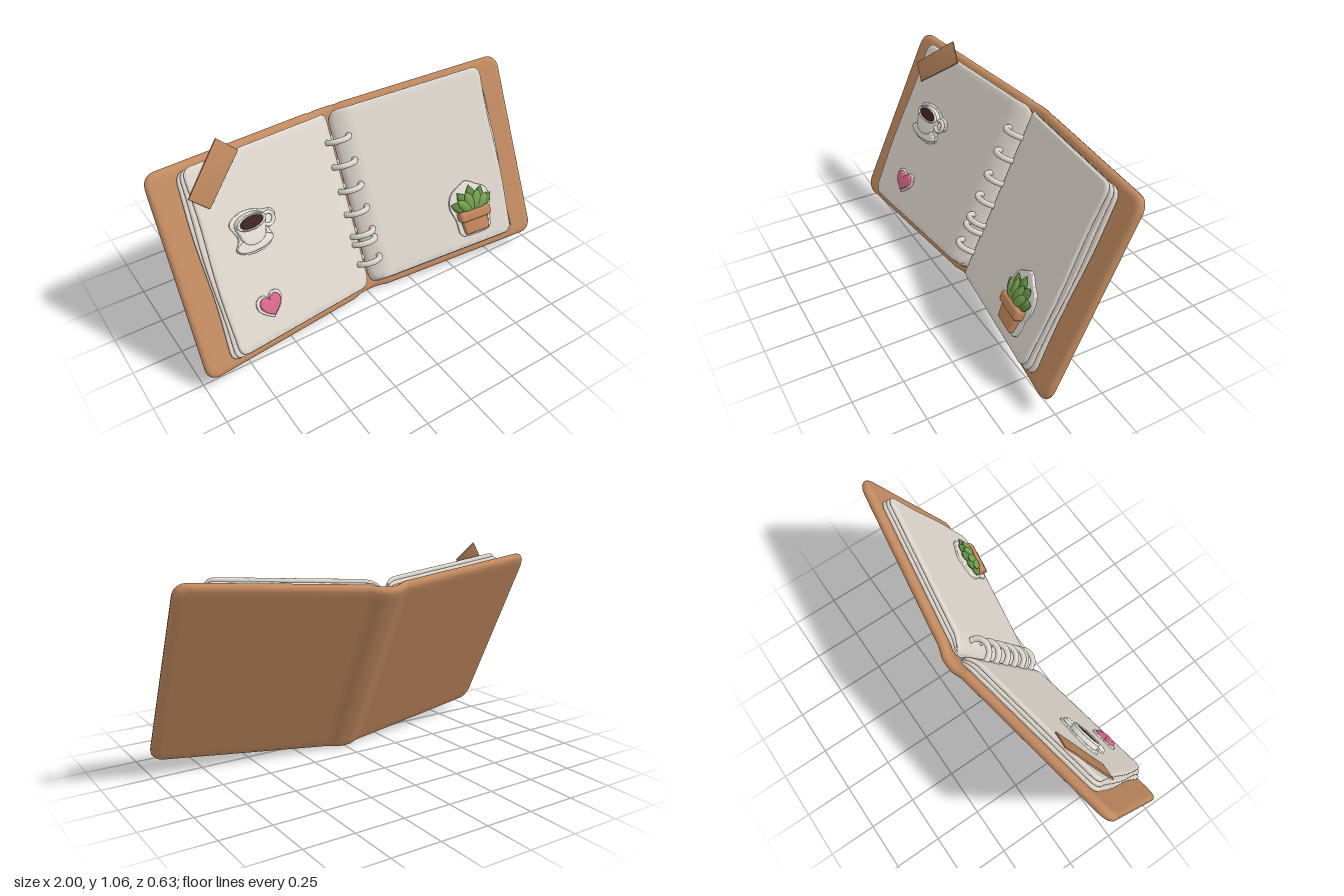
import * as THREE from 'three';
import { toCreasedNormals } from 'three/addons/utils/BufferGeometryUtils.js';
import { RoundedBoxGeometry } from 'three/addons/geometries/RoundedBoxGeometry.js';

const mat = (name, color) => {
  const m = new THREE.MeshStandardMaterial({ color });
  m.name = name;
  return m;
};
const M = {
  leather: mat('tan leather', 0xc28a60),
  tape: mat('brown tape', 0xb9855c),
  paper: mat('paper', 0xded7ce),
  ring: mat('ring white', 0xd9d4cc),
  sticker: mat('sticker white', 0xe4dfd8),
  coffee: mat('coffee', 0x3d2423),
  pink: mat('pink', 0xd8688a),
  leaf: mat('leaf green', 0x74a050),
  darkLeaf: mat('dark leaf green', 0x5f8a40),
  pot: mat('terracotta', 0xc4865c),
};

const SLOPE = 0.17;
// depth of the opened book's mid-surface away from the spine
const fold = (x) => 0.155 + SLOPE * (Math.abs(x) - 0.1);
const pageFront = (x) => fold(x) + 0.092;

function mesh(parent, name, geometry, material, x = 0, y = 0, z = 0) {
  const m = new THREE.Mesh(geometry, material);
  m.name = name;
  m.position.set(x, y, z);
  parent.add(m);
  return m;
}

// Slab with round corners and a semicircular edge, bent along x by depth(x)
function slab(w, h, t, r, cx, cy, depth, warp, nx = 44, ny = 36) {
  const g = new THREE.BoxGeometry(w, h, 2, nx, ny, 6);
  const p = g.attributes.position;
  for (let i = 0; i < p.count; i++) {
    let x = p.getX(i), y = p.getY(i);
    const a = (p.getZ(i) * Math.PI) / 2;
    const ax = Math.abs(x) - (w / 2 - r), ay = Math.abs(y) - (h / 2 - r);
    if (ax > 0 && ay > 0) {
      const k = Math.max(ax, ay) / Math.hypot(ax, ay);
      x = Math.sign(x) * (w / 2 - r + ax * k);
      y = Math.sign(y) * (h / 2 - r + ay * k);
    }
    const inset = (t / 2) * (1 - Math.cos(a));
    x = cx + x * (1 - (2 * inset) / w);
    y = y * (1 - (2 * inset) / h);
    if (warp) [x, y] = warp(x, y);
    p.setXYZ(i, x, cy + y, depth(x) + (t / 2) * Math.sin(a));
  }
  return toCreasedNormals(g, 0.9);
}

// Raised plate from a shape, with a soft bevelled rim
function plate(shape, depth, bevel = 0.005) {
  const g = new THREE.ExtrudeGeometry(shape, {
    depth, bevelEnabled: true, bevelSize: bevel, bevelThickness: bevel,
    bevelOffset: -bevel, bevelSegments: 3, curveSegments: 32,
  });
  return toCreasedNormals(g, 0.7);
}
const blob = (pts) => new THREE.Shape(
  new THREE.CatmullRomCurve3(pts.map(([x, y]) => new THREE.Vector3(x, y, 0)), true)
    .getPoints(72).slice(0, -1).map((p) => new THREE.Vector2(p.x, p.y)));
const polygon = (pts) => new THREE.Shape(pts.map(([x, y]) => new THREE.Vector2(x, y)));
const ellipse = (rx, ry) => new THREE.Shape().absellipse(0, 0, rx, ry, 0, Math.PI * 2);

function heartShape(s) {
  const h = new THREE.Shape();
  h.moveTo(0, -s);
  h.bezierCurveTo(-0.5 * s, -0.65 * s, -1.1 * s, -0.2 * s, -1.05 * s, 0.35 * s);
  h.bezierCurveTo(-s, 0.95 * s, -0.25 * s, 1.05 * s, 0, 0.5 * s);
  h.bezierCurveTo(0.25 * s, 1.05 * s, s, 0.95 * s, 1.05 * s, 0.35 * s);
  h.bezierCurveTo(1.1 * s, -0.2 * s, 0.5 * s, -0.65 * s, 0, -s);
  return h;
}

// Group lying on the page surface at (x, y)
function onPage(parent, name, x, y) {
  const g = new THREE.Group();
  g.name = name;
  g.position.set(x, y, pageFront(x));
  g.rotation.y = -Math.sign(x) * Math.atan(SLOPE);
  parent.add(g);
  return g;
}

function addCup(book) {
  const g = onPage(book, 'cupSticker', -0.6, 0.565);
  mesh(g, 'cupBacking', plate(blob([[-0.1, 0.06], [-0.05, 0.092], [0.03, 0.092], [0.085, 0.07],
    [0.135, 0.055], [0.145, 0.015], [0.095, -0.02], [0.105, -0.07], [0.06, -0.105],
    [-0.05, -0.105], [-0.1, -0.07], [-0.075, -0.02]]), 0.004), M.sticker);
  mesh(g, 'saucer', plate(ellipse(0.098, 0.034), 0.014), M.sticker, 0, -0.064, 0.004);
  mesh(g, 'cupBowl', plate(blob([[-0.08, 0.05], [-0.072, 0.0], [-0.05, -0.05], [0, -0.066],
    [0.05, -0.05], [0.072, 0], [0.08, 0.05], [0.045, 0.078], [-0.045, 0.078]]), 0.022), M.sticker, 0, 0, 0.004);
  const rim = mesh(g, 'cupRim', new THREE.TorusGeometry(0.072, 0.008, 10, 40), M.sticker, 0, 0.042, 0.034);
  rim.scale.set(1, 0.46, 1);
  mesh(g, 'coffee', plate(ellipse(0.062, 0.027), 0.002, 0.001), M.coffee, 0, 0.042, 0.035);
  mesh(g, 'cupHandle', new THREE.TorusGeometry(0.03, 0.009, 10, 28), M.sticker, 0.098, 0.02, 0.016);
}

function addHeart(book) {
  const g = onPage(book, 'heartSticker', -0.613, 0.19);
  g.rotation.z = 0.06;
  mesh(g, 'heartBacking', plate(heartShape(0.068), 0.004), M.sticker);
  mesh(g, 'heart', plate(heartShape(0.054), 0.012, 0.007), M.pink, 0, 0.001, 0.004);
}

function addPlant(book) {
  const g = onPage(book, 'plantSticker', 0.615, 0.19);
  mesh(g, 'plantBacking', plate(blob([[-0.085, -0.1], [0, -0.113], [0.085, -0.1], [0.1, -0.01],
    [0.12, 0.06], [0.1, 0.125], [0.06, 0.15], [0.0, 0.186], [-0.055, 0.165], [-0.1, 0.135],
    [-0.122, 0.07], [-0.1, -0.01]]), 0.008), M.sticker);
  mesh(g, 'potBody', plate(polygon([[-0.066, -0.095], [0.066, -0.095], [0.08, 0], [-0.08, 0]]), 0.032, 0.01), M.pot);
  mesh(g, 'potRim', new RoundedBoxGeometry(0.185, 0.058, 0.06, 4, 0.018), M.pot, 0, 0.008, 0.03);
  // pointed leaves fanned out in two rows
  const outline = [[0, 0], [0.016, 0.012], [0.029, 0.045], [0.031, 0.075], [0.02, 0.11], [0, 0.14]];
  const curve = new THREE.SplineCurve(outline.map(([x, y]) => new THREE.Vector2(x, y)));
  const leaf = new THREE.LatheGeometry(
    curve.getPoints(16).map((p) => new THREE.Vector2(Math.max(p.x, 0), p.y)), 20);
  const rows = [
    { angles: [-1.05, -0.5, 0.02, 0.5, 1.05], z: 0.026, size: 1, m: M.darkLeaf },
    { angles: [-0.75, -0.22, 0.3, 0.78], z: 0.042, size: 0.85, m: M.leaf },
  ];
  for (const { angles, z, size, m } of rows)
    for (const a of angles) {
      const l = mesh(g, 'leaf', leaf, m, Math.sin(a) * 0.02, 0.028, z);
      l.rotation.z = -a;
      l.scale.set(size, size * (1 - 0.14 * Math.abs(a)), 0.6 * size);
    }
}

export function createModel() {
  const model = new THREE.Group();
  model.name = 'openNotebook';
  const tilt = new THREE.Group();
  tilt.name = 'tiltedBook';
  tilt.rotation.x = -0.441;
  model.add(tilt);
  const book = new THREE.Group();
  book.name = 'book';
  book.rotation.z = 0.009;
  book.position.set(0.004, 0, 0);
  tilt.add(book);

  // Cover: one folded board with a bulging spine
  const coverDepth = (x) => {
    const a = Math.abs(x);
    return a > 0.12 ? fold(x) : 0.13 + 0.0284 * THREE.MathUtils.smoothstep(a, 0.02, 0.12);
  };
  const notch = (x, y) => [x, Math.abs(x) < 0.09 ? y * 0.992 : y];
  mesh(book, 'cover', slab(1.99, 1.01, 0.05, 0.06, 0, 0.455, coverDepth, notch, 100, 36), M.leather);

  // Three thick sheets on each side, dipping into the spine
  const sheets = [
    { out: 0.86, low: -0.004, high: 0.925, lift: 0.036, dip: 0.01 },
    { out: 0.85, low: 0.002, high: 0.932, lift: 0.058, dip: 0.03 },
    { out: 0.832, low: 0.014, high: 0.94, lift: 0.08, dip: 0.05 },
  ];
  for (const side of [-1, 1])
    sheets.forEach(({ out, low, high, lift, dip }, i) => {
      const w = out - 0.008;
      const depth = (x) => fold(x) + lift - dip * Math.max(0, 1 - Math.abs(x) / 0.1) ** 2;
      const wavy = (x, y) => [x * (1 + 0.006 * Math.sin(y * 9 + i * 1.3)), y];
      mesh(book, 'page', slab(w, high - low, 0.024, 0.045, side * (0.008 + w / 2), (low + high) / 2, depth, wavy),
        M.paper);
    });

  // Binder rings
  for (const y of [0.8, 0.673, 0.543, 0.42, 0.3, 0.256, 0.147]) {
    const r = mesh(book, 'binderRing', new THREE.TorusGeometry(0.064, 0.015, 12, 36), M.ring, 0, y, 0.222);
    r.rotation.x = Math.PI / 2;
  }

  // Tape strip across the upper corner
  const tape = onPage(book, 'tapeStrip', -0.7, 0.875);
  mesh(tape, 'tape', plate(polygon([[-0.152, -0.065], [-0.066, -0.142], [0.152, 0.06], [0.06, 0.145]]), 0.006, 0.001),
    M.tape, 0, 0, 0.006);

  addCup(book);
  addHeart(book);
  addPlant(book);
  return model;
}
